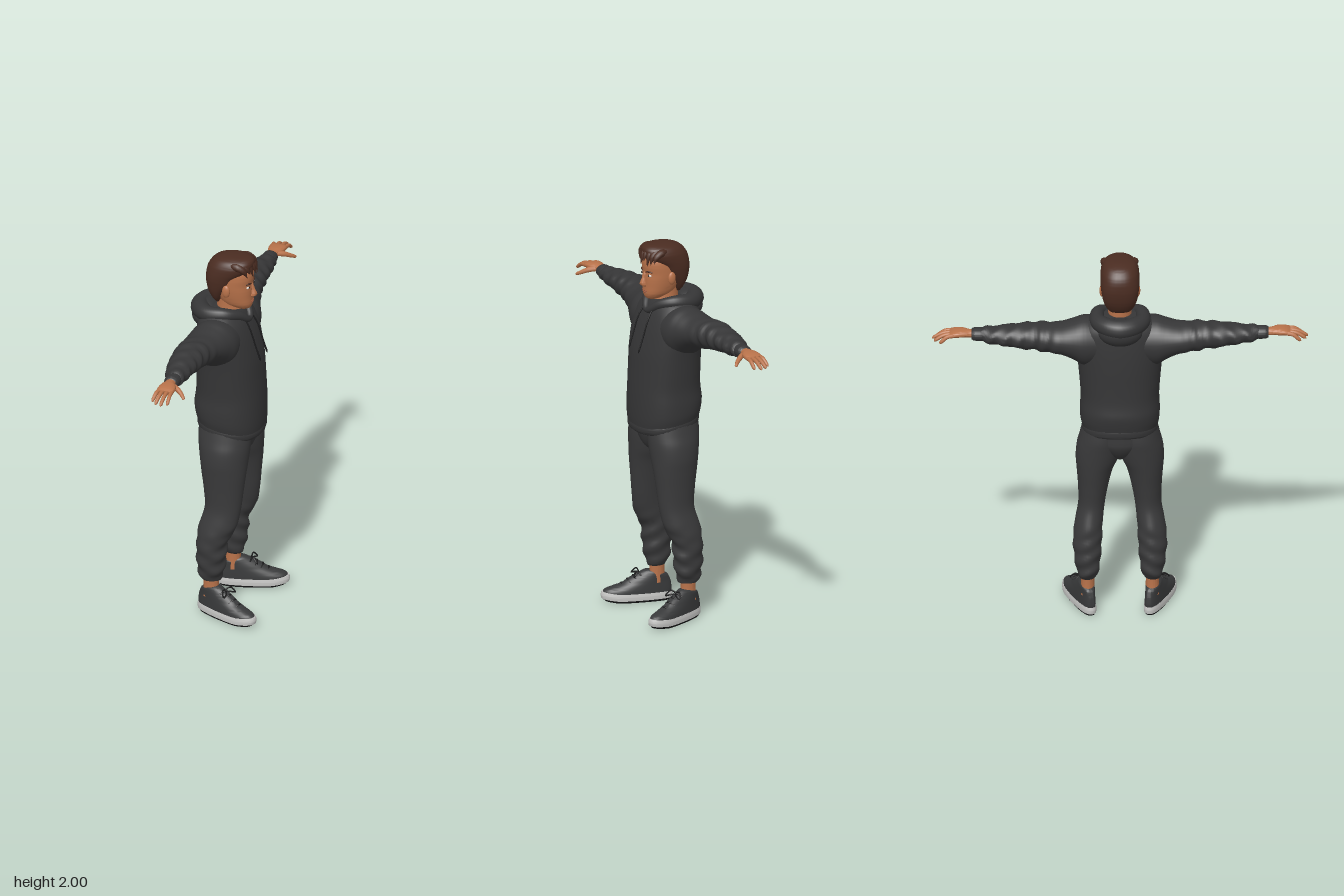
import * as THREE from 'three';
import { mergeVertices, toCreasedNormals } from 'three/addons/utils/BufferGeometryUtils.js';

const mat = (name, color) => Object.assign(new THREE.MeshStandardMaterial({ color }), { name });

// Catmull-Rom blend of four rows of numbers
const blend = (a, b, c, d, t) => b.map((_, k) => 0.5 * (2 * b[k] + (c[k] - a[k]) * t
  + (2 * a[k] - 5 * b[k] + 4 * c[k] - d[k]) * t * t + (3 * b[k] - a[k] - 3 * c[k] + d[k]) * t * t * t));

// Closed skin through rows [t, a0, a1, b0, b1, squareness]; t runs along 'y' or 'z'
function loft(axis, rows, warp, steps = 5, n = 36) {
  const r = rows.map(q => (q.length < 6 ? [...q, 2] : q)), rings = [];
  const at = i => r[Math.max(0, Math.min(r.length - 1, i))];
  for (let i = 0; i < r.length - 1; i++)
    for (let s = 0; s < steps; s++) rings.push(blend(at(i - 1), at(i), at(i + 1), at(i + 2), s / steps));
  rings.push(at(r.length - 1));
  const pos = [], idx = [], flip = axis === 'z';
  const put = (a, t, b) => {
    const v = flip ? new THREE.Vector3(a, b, t) : new THREE.Vector3(a, t, b);
    if (warp) warp(v);
    pos.push(v.x, v.y, v.z);
  };
  const tri = (a, b, c) => (flip ? idx.push(a, c, b) : idx.push(a, b, c));
  const pw = (v, p) => Math.sign(v) * Math.abs(v) ** (2 / p);
  for (const [t, a0, a1, b0, b1, p] of rings)
    for (let j = 0; j < n; j++) {
      const th = j / n * Math.PI * 2;
      put((a0 + a1) / 2 + (a1 - a0) / 2 * pw(Math.cos(th), p), t, (b0 + b1) / 2 + (b1 - b0) / 2 * pw(Math.sin(th), p));
    }
  const last = rings.length - 1, c0 = rings.length * n;
  for (const q of [rings[0], rings[last]]) put((q[1] + q[2]) / 2, q[0], (q[3] + q[4]) / 2);
  for (let j = 0; j < n; j++) {
    const k = (j + 1) % n;
    for (let i = 0; i < last; i++) {
      tri(i * n + j, (i + 1) * n + j, i * n + k);
      tri(i * n + k, (i + 1) * n + j, (i + 1) * n + k);
    }
    tri(c0, j, k);
    tri(c0 + 1, last * n + k, last * n + j);
  }
  const g = new THREE.BufferGeometry();
  g.setAttribute('position', new THREE.Float32BufferAttribute(pos, 3));
  g.setIndex(idx);
  return toCreasedNormals(g, 1.1);
}

// Same as loft along y, symmetric in z: rows [y, x0, x1, halfWidth, squareness]
const body = (rows, warp) => loft('y', rows.map(([y, a, b, w, p = 2]) => [y, a, b, -w, w, p]), warp);

// Tube through points [x, y, z, radius]
function taper(pts, closed = false, seg = 14, rad = 10) {
  const curve = new THREE.CatmullRomCurve3(pts.map(p => new THREE.Vector3(p[0], p[1], p[2])), closed);
  let g = new THREE.TubeGeometry(curve, seg, 1, rad, closed);
  const P = g.attributes.position, v = new THREE.Vector3(), n = pts.length;
  for (let i = 0; i <= seg; i++) {
    const u = closed ? (i % seg) / seg : i / seg, c = curve.getPointAt(u);
    const f = curve.getUtoTmapping(u) * (closed ? n : n - 1), k = Math.min(Math.floor(f), n - 1);
    const r = THREE.MathUtils.lerp(pts[k][3], pts[closed ? (k + 1) % n : Math.min(k + 1, n - 1)][3], f - k);
    for (let j = 0; j <= rad; j++) {
      const o = i * (rad + 1) + j;
      v.fromBufferAttribute(P, o).sub(c).setLength(Math.max(r, 1e-4)).add(c);
      P.setXYZ(o, v.x, v.y, v.z);
    }
  }
  g.deleteAttribute('uv');
  g.deleteAttribute('normal');
  g = mergeVertices(g, 1e-5);
  g.computeVertexNormals();
  return g;
}

const ball = (x, y, z, rx, ry, rz) => new THREE.SphereGeometry(1, 24, 16).scale(rx, ry, rz).translate(x, y, z);

function mirrorZ(geo) {
  const g = geo.clone().scale(1, 1, -1);
  const src = g.index ? Array.from(g.index.array) : Array.from({ length: g.attributes.position.count }, (_, i) => i);
  for (let i = 0; i < src.length; i += 3) [src[i + 1], src[i + 2]] = [src[i + 2], src[i + 1]];
  return g.setIndex(src);
}

export function createModel() {
  const M = {
    hoodie: mat('hoodie charcoal', 0x363637), trousers: mat('trouser charcoal', 0x3a3a3b),
    skin: mat('skin', 0xb8724a), lips: mat('lips', 0x9c5a40), hair: mat('brown hair', 0x4a2c21),
    shoe: mat('shoe grey', 0x38393a), sole: mat('sole light grey', 0xc6c6c4),
    dark: mat('black rubber', 0x1b1b1c), eye: mat('eye white', 0xd8d0c8),
  };
  const model = new THREE.Group();
  model.name = 'standingMan';
  const add = (name, geo, m) => {
    const mesh = new THREE.Mesh(geo, M[m]);
    mesh.name = name;
    model.add(mesh);
  };
  // the figure faces +x, so its right side is +z
  const pair = (name, geo, m) => { add('right' + name, geo, m); add('left' + name, mirrorZ(geo), m); };

  // Hoodie body, with a hem that dips at the front
  const dip = v => { if (v.y < 1.2) v.y -= (v.x + 0.02) * 0.15 * Math.min(1, (1.2 - v.y) / 0.12); };
  add('hoodieBody', body([
    [1.06, -0.178, 0.165, 0.195, 2.3], [1.1, -0.186, 0.168, 0.203, 2.3], [1.16, -0.191, 0.168, 0.205, 2.3],
    [1.24, -0.182, 0.164, 0.202, 2.3], [1.33, -0.18, 0.157, 0.208, 2.3], [1.42, -0.18, 0.148, 0.216, 2.3],
    [1.5, -0.178, 0.132, 0.226, 2.3], [1.57, -0.174, 0.113, 0.23, 2.3], [1.63, -0.168, 0.09, 0.215, 2.3],
    [1.67, -0.16, 0.07, 0.185], [1.695, -0.14, 0.05, 0.14], [1.705, -0.1, 0.03, 0.08]], dip), 'hoodie');
  add('hoodieHem', body([[1.02, -0.17, 0.155, 0.188, 2.3], [1.03, -0.175, 0.163, 0.194, 2.3],
    [1.055, -0.176, 0.165, 0.196, 2.3], [1.075, -0.17, 0.155, 0.19, 2.3]], dip), 'hoodie');

  // Hood lying around the neck
  const rim = [[-0.01, 1.698, 0.112, 0.034], [-0.1, 1.69, 0.112, 0.042], [-0.155, 1.685, 0.06, 0.049]];
  const side = [[0.052, 1.682, 0.066, 0.025], ...rim];
  add('hoodRoll', taper([[0.088, 1.64, 0, 0.015], ...side, [-0.172, 1.682, 0, 0.052],
    ...side.map(([x, y, z, r]) => [x, y, -z, r]).reverse()], true, 64, 16), 'hoodie');
  add('hoodDrape', ball(-0.14, 1.65, 0, 0.075, 0.075, 0.115), 'hoodie');
  pair('Drawstring', taper([[0.08, 1.655, 0.042, 0.004], [0.112, 1.6, 0.05, 0.004], [0.142, 1.51, 0.051, 0.004],
    [0.168, 1.435, 0.05, 0.005], [0.17, 1.43, 0.05, 0]], false, 20, 6), 'dark');

  // Sleeves with soft folds, and cuffs
  const folds = v => {
    const k = THREE.MathUtils.smoothstep(v.z, 0.28, 0.42) * 0.005;
    v.x += k * Math.sin(v.z * 85 + v.y * 30);
    v.y += k * 0.8 * Math.sin(v.z * 70 + v.x * 40);
  };
  pair('Sleeve', loft('z', [
    [0.1, -0.155, 0.09, 1.44, 1.675], [0.18, -0.168, 0.088, 1.425, 1.688], [0.24, -0.17, 0.065, 1.465, 1.675],
    [0.3, -0.17, 0.04, 1.498, 1.664], [0.37, -0.168, 0.02, 1.515, 1.667], [0.43, -0.165, 0.006, 1.53, 1.672],
    [0.5, -0.16, 0, 1.538, 1.667], [0.57, -0.15, -0.006, 1.55, 1.66], [0.64, -0.135, -0.012, 1.558, 1.65],
    [0.69, -0.118, -0.018, 1.565, 1.645], [0.715, -0.108, -0.026, 1.572, 1.638]], folds, 8), 'hoodie');
  pair('Cuff', loft('z', [[0.7, -0.104, -0.03, 1.576, 1.638], [0.715, -0.108, -0.025, 1.573, 1.641],
    [0.75, -0.106, -0.027, 1.575, 1.64], [0.762, -0.1, -0.034, 1.582, 1.634]]), 'hoodie');

  // Hands, palms down
  pair('Palm', loft('z', [[0.74, -0.093, -0.04, 1.59, 1.63], [0.775, -0.094, -0.037, 1.592, 1.632],
    [0.81, -0.102, -0.02, 1.595, 1.634, 2.4], [0.85, -0.106, -0.014, 1.597, 1.63, 2.6],
    [0.875, -0.102, -0.018, 1.599, 1.62, 2.6]]), 'skin');
  [[-0.094, -0.106, 0.93], [-0.071, -0.08, 0.957], [-0.048, -0.05, 0.966], [-0.026, -0.022, 0.945]]
    .forEach(([x0, x1, z], i) => pair('Finger' + (i + 1), taper([[x0, 1.612, 0.85, 0.011],
      [(x0 + x1) / 2, 1.606, (0.85 + z) / 2, 0.0105], [x1, 1.583, z - 0.012, 0.009],
      [x1, 1.577, z - 0.003, 0.006], [x1, 1.574, z, 0]]), 'skin'));
  pair('Thumb', taper([[-0.045, 1.61, 0.785, 0.014], [-0.012, 1.603, 0.806, 0.014], [0.016, 1.589, 0.827, 0.011],
    [0.034, 1.577, 0.846, 0.008], [0.039, 1.573, 0.852, 0]]), 'skin');

  // Trousers
  add('trouserSeat', body([[0.87, -0.06, 0.05, 0.03], [0.91, -0.11, 0.1, 0.09], [0.97, -0.145, 0.125, 0.17],
    [1.02, -0.15, 0.132, 0.19], [1.08, -0.15, 0.135, 0.185]]), 'trousers');
  const legFolds = v => {
    const k = THREE.MathUtils.smoothstep(0.62 - v.y, 0.05, 0.25) * 0.005;
    v.x += k * Math.sin(v.y * 75 + v.z * 35);
    v.z += k * 0.6 * Math.sin(v.y * 60 + v.x * 40);
  };
  pair('TrouserLeg', loft('y', [
    [0.195, -0.108, -0.012, 0.125, 0.206], [0.215, -0.12, -0.002, 0.115, 0.216], [0.25, -0.13, 0.01, 0.106, 0.226],
    [0.33, -0.136, 0.02, 0.097, 0.237], [0.42, -0.134, 0.03, 0.092, 0.241], [0.5, -0.126, 0.072, 0.088, 0.232],
    [0.6, -0.1, 0.092, 0.077, 0.214], [0.7, -0.107, 0.103, 0.06, 0.215], [0.8, -0.122, 0.114, 0.036, 0.222],
    [0.87, -0.133, 0.121, 0.006, 0.227], [0.94, -0.143, 0.128, -0.01, 0.222], [1.0, -0.15, 0.13, -0.01, 0.207],
    [1.07, -0.145, 0.125, -0.005, 0.19]], legFolds, 6), 'trousers');
  pair('Ankle', loft('y', [[0.1, -0.105, -0.015, 0.13, 0.205], [0.16, -0.1, -0.02, 0.132, 0.2],
    [0.24, -0.1, -0.02, 0.132, 0.2]]), 'skin');

  // Shoes: shaped at the ankle, turned outwards, then placed
  const place = g => g.rotateY(-0.34).translate(-0.062, 0, 0.168);
  const last = v => {
    v.z *= 0.8 + 0.95 * Math.min(0.22, Math.max(0, v.x));
    if (v.x > 0.2) v.y += (v.x - 0.2) * 0.12;
    if (v.y > 0.1) v.y += (v.x - 0.02) * 0.25 * Math.min(1, (v.y - 0.1) / 0.05);
  };
  const shoePart = (name, rows, m) => pair(name, place(body(rows, last)), m);
  shoePart('Outsole', [[0, -0.066, 0.272, 0.052, 2.4], [0.014, -0.076, 0.288, 0.06, 2.4]], 'dark');
  shoePart('Midsole', [[0.012, -0.077, 0.29, 0.061, 2.4], [0.03, -0.08, 0.293, 0.062, 2.4],
    [0.048, -0.077, 0.288, 0.059, 2.4]], 'sole');
  shoePart('ShoeUpper', [[0.042, -0.074, 0.285, 0.058, 2.4], [0.06, -0.076, 0.272, 0.057, 2.3],
    [0.08, -0.074, 0.23, 0.055, 2.2], [0.105, -0.07, 0.17, 0.052], [0.13, -0.064, 0.11, 0.048],
    [0.15, -0.058, 0.072, 0.045], [0.157, -0.05, 0.06, 0.04]], 'shoe');
  [[0.185, 0.1], [0.155, 0.12], [0.125, 0.137], [0.098, 0.154]].forEach(([x, y], i) =>
    pair('Lace' + (i + 1), place(taper([[x - 0.012, y - 0.016, -0.03, 0.005], [x, y, 0, 0.005],
      [x - 0.012, y - 0.016, 0.03, 0.005]], false, 10, 6)), 'dark'));
  for (const s of [-1, 1]) pair(s < 0 ? 'LaceLoopInner' : 'LaceLoopOuter', place(taper([[0.098, 0.156, 0, 0.004],
    [0.105, 0.165, s * 0.03, 0.004], [0.125, 0.138, s * 0.048, 0.004], [0.12, 0.148, s * 0.02, 0.004]], true, 20, 6)), 'dark');

  // Neck and head
  add('neck', body([[1.62, -0.09, 0.075, 0.07], [1.67, -0.085, 0.058, 0.064], [1.72, -0.085, 0.045, 0.06],
    [1.78, -0.085, 0.05, 0.06]]), 'skin');
  add('head', body([[1.703, 0.03, 0.085, 0.026], [1.712, 0.0, 0.098, 0.042], [1.735, -0.055, 0.105, 0.063, 2.2],
    [1.77, -0.085, 0.105, 0.075, 2.2], [1.81, -0.105, 0.106, 0.083, 2.2], [1.845, -0.115, 0.104, 0.087, 2.2],
    [1.89, -0.115, 0.108, 0.088, 2.2], [1.93, -0.11, 0.1, 0.083], [1.965, -0.08, 0.07, 0.06],
    [1.98, -0.04, 0.03, 0.03]]), 'skin');
  add('nose', body([[1.77, 0.09, 0.108, 0.01], [1.779, 0.085, 0.125, 0.018], [1.79, 0.085, 0.131, 0.016],
    [1.815, 0.085, 0.12, 0.01], [1.845, 0.085, 0.108, 0.008], [1.858, 0.085, 0.1, 0.006]]), 'skin');
  add('upperLip', ball(0.103, 1.75, 0, 0.007, 0.004, 0.024), 'lips');
  add('lowerLip', ball(0.102, 1.742, 0, 0.008, 0.005, 0.02), 'lips');
  pair('Ear', ball(-0.006, 1.822, 0.092, 0.021, 0.034, 0.013).rotateZ(0), 'skin');
  pair('Eye', ball(0.093, 1.836, 0.036, 0.008, 0.007, 0.015), 'eye');
  pair('Iris', ball(0.098, 1.836, 0.035, 0.005, 0.006, 0.006), 'dark');
  pair('Eyebrow', taper([[0.104, 1.852, 0.016, 0.003], [0.101, 1.858, 0.035, 0.005], [0.088, 1.855, 0.056, 0.002]]), 'hair');

  // Hair cap, cropped at the sides and swept forward on top
  add('hairCap', body([[1.735, -0.09, -0.05, 0.05], [1.76, -0.108, -0.035, 0.07], [1.8, -0.126, -0.012, 0.087, 2.3],
    [1.85, -0.136, 0.026, 0.097, 2.5], [1.885, -0.137, 0.05, 0.1, 2.5], [1.92, -0.133, 0.092, 0.1, 2.4],
    [1.95, -0.12, 0.113, 0.096, 2.3], [1.978, -0.092, 0.11, 0.08, 2.2], [1.993, -0.05, 0.085, 0.05],
    [1.997, -0.02, 0.05, 0.02]]), 'hair');
  for (let i = 0; i < 8; i++) {
    const z = -0.077 + i * 0.022, w = Math.abs(z), drop = (i % 3) * 0.013;
    add('hairTuft' + (i + 1), taper([[-0.03, 1.975 - w * 0.25, z * 0.8, 0.006], [0.045, 1.978 - w * 0.2, z, 0.021],
      [0.105 - w * 0.3, 1.958 - w * 0.2, z - 0.006, 0.017], [0.13 - w * 0.4, 1.915 - drop, z - 0.016, 0]], false, 14, 8), 'hair');
  }
  return model;
}
